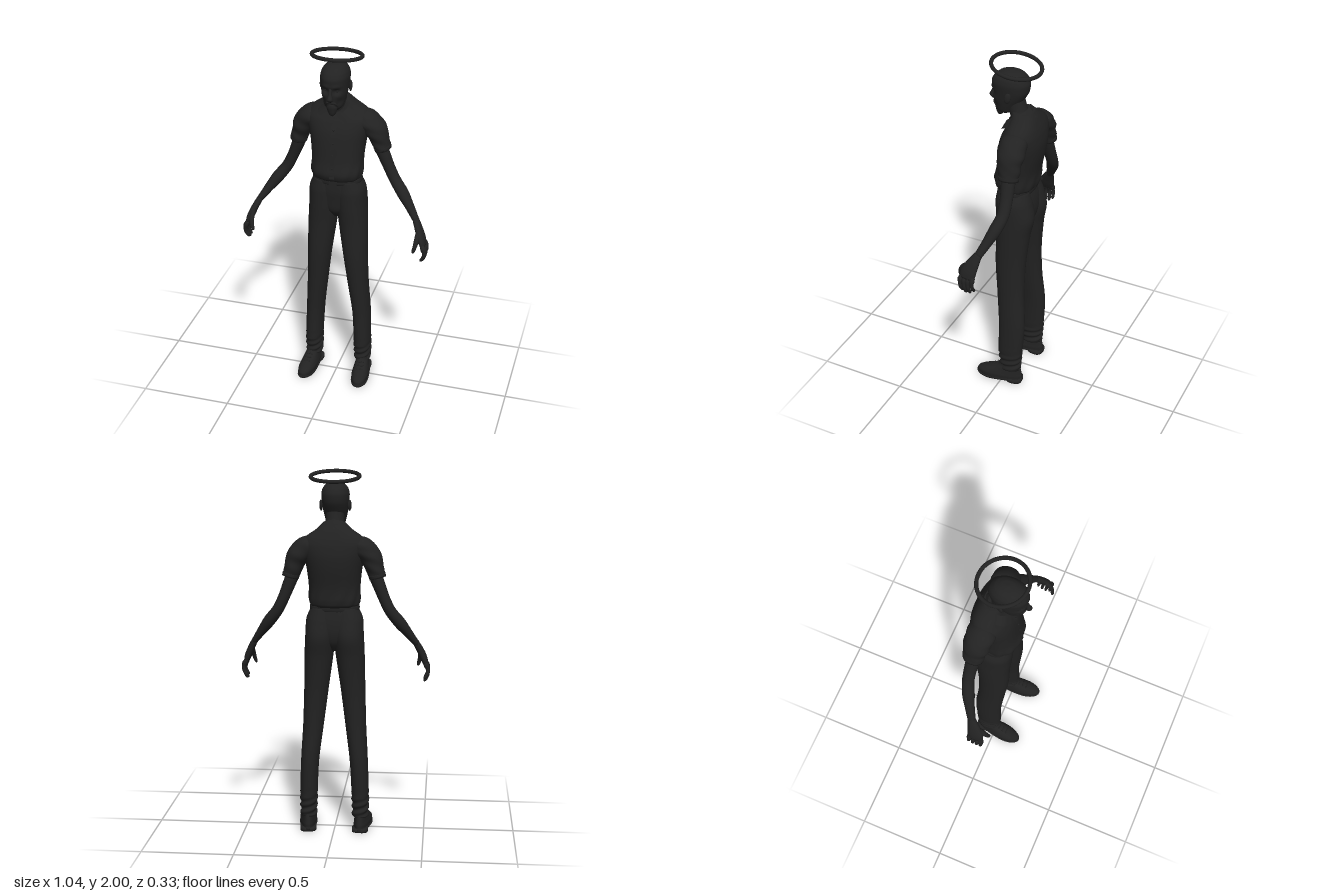
import * as THREE from 'three';

const dark = new THREE.MeshStandardMaterial({ color: 0x222222, side: THREE.DoubleSide });
dark.name = 'near black';

// Smooth closed surface through elliptical sections [x, y, z, rx, rz].
// level: keep sections horizontal; pow: roundness (2 = ellipse); warp: moves each vertex.
function loft(rings, { steps = 24, sides = 24, level = false, pow = 2, warp } = {}) {
  const path = new THREE.CatmullRomCurve3(rings.map(r => new THREE.Vector3(r[0], r[1], r[2])));
  const size = new THREE.CatmullRomCurve3(rings.map(r => new THREE.Vector3(r[3], r[4] ?? r[3], 0)));
  const pos = [], index = [], Z = new THREE.Vector3(0, 0, 1);
  const bend = v => Math.sign(v) * Math.abs(v) ** (2 / pow);
  for (let i = 0; i <= steps; i++) {
    const c = path.getPoint(i / steps), s = size.getPoint(i / steps);
    const t = level ? new THREE.Vector3(0, 1, 0) : path.getTangent(i / steps);
    const u = t.clone().cross(Z).normalize(), w = u.clone().cross(t);
    for (let j = 0; j < sides; j++) {
      const a = j / sides * Math.PI * 2;
      const p = c.clone().addScaledVector(u, bend(Math.cos(a)) * Math.max(s.x, 0.001))
        .addScaledVector(w, bend(Math.sin(a)) * Math.max(s.y, 0.001));
      if (warp) warp(p, a);
      pos.push(p.x, p.y, p.z);
      const k = (j + 1) % sides, o = i * sides;
      if (i < steps) index.push(o + j, o + sides + j, o + k, o + k, o + sides + j, o + sides + k);
    }
  }
  const first = path.getPoint(0), last = path.getPoint(1), n = pos.length / 3;
  pos.push(first.x, first.y, first.z, last.x, last.y, last.z);
  for (let j = 0; j < sides; j++) {
    const k = (j + 1) % sides, o = steps * sides;
    index.push(n, j, k, n + 1, o + k, o + j);
  }
  const g = new THREE.BufferGeometry();
  g.setAttribute('position', new THREE.Float32BufferAttribute(pos, 3));
  g.setIndex(index);
  g.computeVertexNormals();
  return g;
}

// Ruled strip between two curves
function strip(inner, outer, n = 16) {
  const curve = pts => new THREE.CatmullRomCurve3(pts.map(p => new THREE.Vector3(...p))).getPoints(n);
  const a = curve(inner), b = curve(outer), index = [];
  for (let i = 0; i < n; i++) index.push(2 * i, 2 * i + 1, 2 * i + 2, 2 * i + 2, 2 * i + 1, 2 * i + 3);
  const g = new THREE.BufferGeometry().setFromPoints(a.flatMap((p, i) => [p, b[i]]));
  g.setIndex(index);
  g.computeVertexNormals();
  return g;
}

const bump = (d, w) => Math.exp(-(d * d) / (w * w));

export function createModel() {
  const model = new THREE.Group();
  model.name = 'standingMan';
  const add = (name, geo, x = 0, y = 0, z = 0, parent = model) => {
    const m = new THREE.Mesh(geo, dark);
    m.name = name;
    m.position.set(x, y, z);
    parent.add(m);
    return m;
  };

  // Halo, tilted up at the front
  const halo = add('halo', new THREE.TorusGeometry(0.131, 0.0105, 12, 56), 0, 1.968, -0.01);
  halo.rotation.x = Math.PI / 2 - 0.155;

  // Head with eye sockets, brow, cheekbones and mouth
  add('head', loft([
    [0, 1.695, 0.055, 0.03, 0.03], [0, 1.715, 0.047, 0.05, 0.052], [0, 1.75, 0.041, 0.06, 0.072],
    [0, 1.79, 0.03, 0.068, 0.088], [0, 1.83, 0.021, 0.073, 0.1], [0, 1.87, 0.02, 0.076, 0.105],
    [0, 1.9, 0.018, 0.07, 0.094], [0, 1.925, 0.015, 0.052, 0.068], [0, 1.937, 0.015, 0.032, 0.04],
    [0, 1.942, 0.015, 0.004, 0.005]], {
    level: true, steps: 54, sides: 56, pow: 2.1, warp: p => {
      if (p.z < 0.04) return;
      const x = Math.abs(p.x);
      p.z += -0.014 * bump(x - 0.03, 0.016) * bump(p.y - 1.813, 0.014)
        + 0.006 * bump(x - 0.028, 0.025) * bump(p.y - 1.838, 0.01)
        + 0.006 * bump(x - 0.045, 0.016) * bump(p.y - 1.785, 0.014)
        - 0.008 * bump(x - 0.045, 0.016) * bump(p.y - 1.75, 0.016)
        - 0.006 * bump(x, 0.024) * bump(p.y - 1.738, 0.005);
    } }));
  add('nose', loft([[0, 1.83, 0.113, 0.008, 0.009], [0, 1.8, 0.122, 0.009, 0.011], [0, 1.773, 0.129, 0.015, 0.016],
    [0, 1.758, 0.12, 0.012, 0.01]], { level: true, steps: 14, sides: 16 }));
  add('goatee', loft([[0, 1.735, 0.09, 0.02, 0.018], [0, 1.715, 0.087, 0.029, 0.022], [0, 1.69, 0.083, 0.024, 0.021],
    [0, 1.672, 0.085, 0.014, 0.013], [0, 1.664, 0.086, 0.003, 0.003]], { level: true, steps: 16, sides: 18 }));
  add('neck', loft([[0, 1.6, -0.055, 0.06, 0.055], [0, 1.68, -0.035, 0.052, 0.052], [0, 1.74, -0.012, 0.05, 0.053],
    [0, 1.8, 0, 0.05, 0.05]], { level: true }));

  // Shirt body with loose folds over the belt
  add('shirtBody', loft([
    [0, 1.265, -0.025, 0.118, 0.088], [0, 1.285, -0.022, 0.136, 0.11], [0, 1.32, -0.02, 0.141, 0.118],
    [0, 1.38, -0.028, 0.14, 0.113], [0, 1.48, -0.043, 0.15, 0.116], [0, 1.55, -0.052, 0.165, 0.113],
    [0, 1.61, -0.06, 0.178, 0.098], [0, 1.65, -0.066, 0.155, 0.08], [0, 1.69, -0.062, 0.098, 0.066],
    [0, 1.725, -0.05, 0.06, 0.056]], {
    level: true, steps: 48, sides: 64, pow: 2.35, warp: (p, a) => {
      const f = 1 + 0.018 * Math.sin(a * 11 + p.y * 30) * bump(p.y - 1.3, 0.06);
      p.x *= f;
      p.z *= f;
    } }));
  add('shirtPlacket', strip(
    [[-0.013, 1.63, 0.026], [-0.013, 1.55, 0.065], [-0.013, 1.48, 0.077], [-0.013, 1.38, 0.089], [-0.013, 1.3, 0.1]],
    [[0.013, 1.63, 0.026], [0.013, 1.55, 0.065], [0.013, 1.48, 0.077], [0.013, 1.38, 0.089], [0.013, 1.3, 0.1]]));
  [[1.57, 0.06], [1.5, 0.075], [1.43, 0.084], [1.36, 0.092]].forEach(([y, z]) => {
    add('shirtButton', new THREE.SphereGeometry(0.005, 10, 8), 0, y, z);
  });

  // Belt, buckle and seat of the trousers
  add('belt', loft([[0, 1.25, -0.024, 0.134, 0.094], [0, 1.262, -0.024, 0.136, 0.096], [0, 1.278, -0.024, 0.134, 0.096]],
    { level: true, steps: 6, sides: 48, pow: 2.3 }));
  add('beltBuckle', new THREE.BoxGeometry(0.042, 0.03, 0.01), 0, 1.264, 0.072);
  add('trouserTop', loft([[0, 1.03, -0.035, 0.02, 0.05], [0, 1.08, -0.034, 0.075, 0.085], [0, 1.14, -0.035, 0.13, 0.096],
    [0, 1.2, -0.03, 0.147, 0.098], [0, 1.265, -0.024, 0.13, 0.091]], { level: true, sides: 40, pow: 2.3 }));

  for (const s of [1, -1]) {
    const side = new THREE.Group();
    side.name = s > 0 ? 'leftSide' : 'rightSide';
    model.add(side);
    const flip = rings => rings.map(([x, ...r]) => [x * s, ...r]);
    const put = (name, rings, o) => add(name, loft(flip(rings), o), 0, 0, 0, side);

    // Face details
    add('eye', new THREE.SphereGeometry(0.01, 14, 10), 0.029 * s, 1.812, 0.092, side);
    const ear = add('ear', new THREE.SphereGeometry(1, 16, 12), 0.077 * s, 1.812, 0.005, side);
    ear.scale.set(0.009, 0.03, 0.018);
    ear.rotation.set(-0.15, 0.35 * s, 0);
    put('moustache', [[0, 1.75, 0.113, 0.006], [0.018, 1.747, 0.108, 0.007], [0.032, 1.728, 0.092, 0.004]],
      { steps: 10, sides: 10 });

    // Collar half: fold from the nape down to the pointed front
    add('collar', strip(
      flip([[0, 1.745, -0.085], [0.048, 1.735, -0.072], [0.07, 1.71, -0.03], [0.05, 1.672, 0.02], [0.01, 1.645, 0.04]]),
      flip([[0, 1.7, -0.125], [0.075, 1.687, -0.105], [0.108, 1.672, -0.05], [0.09, 1.637, 0.03], [0.05, 1.607, 0.055]])),
      0, 0, 0, side);

    // Short sleeve with hem
    put('sleeve', [[0.1, 1.6, -0.062, 0.045, 0.055], [0.15, 1.592, -0.066, 0.062, 0.076],
      [0.197, 1.545, -0.07, 0.06, 0.072], [0.22, 1.485, -0.075, 0.049, 0.06], [0.235, 1.437, -0.078, 0.044, 0.054]],
      { steps: 26, sides: 28, warp: (p, a) => { p.z += 0.003 * Math.sin(p.y * 90 + a * 2); } });
    put('sleeveHem', [[0.231, 1.452, -0.077, 0.047, 0.057], [0.236, 1.433, -0.078, 0.046, 0.056]], { steps: 3, sides: 28 });

    // Bare arm and hand
    put('arm', [[0.2, 1.5, -0.07, 0.038, 0.042], [0.237, 1.41, -0.077, 0.035, 0.038], [0.273, 1.32, -0.082, 0.031, 0.034],
      [0.305, 1.255, -0.08, 0.031, 0.033], [0.35, 1.195, -0.062, 0.033, 0.034], [0.4, 1.128, -0.034, 0.025, 0.027],
      [0.447, 1.062, -0.003, 0.017, 0.022]], { steps: 32, sides: 20 });
    put('palm', [[0.443, 1.07, -0.005, 0.017, 0.022], [0.468, 1.02, 0.017, 0.019, 0.036], [0.487, 0.975, 0.033, 0.019, 0.045],
      [0.499, 0.94, 0.037, 0.014, 0.042]], { steps: 14, sides: 20, pow: 2.3 });
    [0.9, 1, 0.97, 0.8].forEach((len, i) => {
      const z = 0.07 - i * 0.023, y = d => 0.952 - d * len;
      put('finger', [[0.496, y(0), z, 0.011], [0.508, y(0.035), z + 0.003, 0.011], [0.509, y(0.07), z, 0.01],
        [0.495, y(0.1), z - 0.003, 0.009], [0.489, y(0.108), z - 0.004, 0.003]], { steps: 14, sides: 10 });
    });
    put('thumb', [[0.466, 1.02, 0.035, 0.012], [0.468, 0.985, 0.075, 0.014], [0.462, 0.95, 0.093, 0.011],
      [0.455, 0.925, 0.098, 0.009], [0.453, 0.917, 0.098, 0.003]], { steps: 14, sides: 10 });

    // Trouser leg, creased near the ankle
    put('trouserLeg', [[0.145, 0.085, -0.045, 0.045, 0.06], [0.145, 0.13, -0.043, 0.045, 0.062],
      [0.144, 0.2, -0.042, 0.048, 0.072], [0.136, 0.4, -0.047, 0.05, 0.077], [0.118, 0.6, -0.033, 0.057, 0.078],
      [0.102, 0.8, -0.025, 0.067, 0.086], [0.086, 1.0, -0.034, 0.079, 0.096], [0.077, 1.11, -0.04, 0.083, 0.108],
      [0.07, 1.2, -0.03, 0.085, 0.101], [0.062, 1.265, -0.024, 0.066, 0.088]], {
      level: true, steps: 72, sides: 32, pow: 2.15, warp: (p, a) => {
        const fold = 0.005 * Math.sin(p.y * 150 + a * 2) * bump(p.y - 0.14, 0.07);
        p.x += fold * Math.cos(a);
        p.z += fold * Math.sin(a);
      } });

    // Shoe: upper, sole and heel, turned slightly outward
    const shoe = new THREE.Group();
    shoe.name = 'shoe';
    shoe.position.set(0.152 * s, 0, 0);
    shoe.rotation.y = 0.09 * s;
    side.add(shoe);
    const narrow = p => { p.x *= 0.9 + 0.9 * Math.min(Math.max(p.z, -0.1), 0.1); };
    add('shoeUpper', loft([[0, 0.015, 0.022, 0.05, 0.137], [0, 0.035, 0.021, 0.051, 0.136], [0, 0.055, 0.008, 0.047, 0.12],
      [0, 0.075, -0.015, 0.042, 0.093], [0, 0.1, -0.038, 0.038, 0.064], [0, 0.125, -0.042, 0.036, 0.056]],
      { level: true, sides: 36, pow: 2.2, warp: narrow }), 0, 0, 0, shoe);
    add('shoeSole', loft([[0, 0.009, 0.022, 0.052, 0.139], [0, 0.015, 0.022, 0.054, 0.141], [0, 0.022, 0.022, 0.053, 0.141]],
      { level: true, sides: 36, steps: 4, pow: 2.2, warp: p => {
        narrow(p);
        p.y -= 0.009 * bump(p.z - 0.09, 0.07);
      } }), 0, 0, 0, shoe);
    add('shoeHeel', loft([[0, 0, -0.07, 0.045, 0.046], [0, 0.02, -0.07, 0.045, 0.046]],
      { level: true, sides: 28, steps: 2, pow: 2.8 }), 0, 0, 0, shoe);
    for (let i = 0; i < 3; i++) {
      const lace = add('shoeLace', new THREE.CapsuleGeometry(0.004, 0.03, 4, 8), 0, 0.074 + i * 0.011, 0.078 - i * 0.022, shoe);
      lace.rotation.z = Math.PI / 2;
    }
  }
  return model;
}
